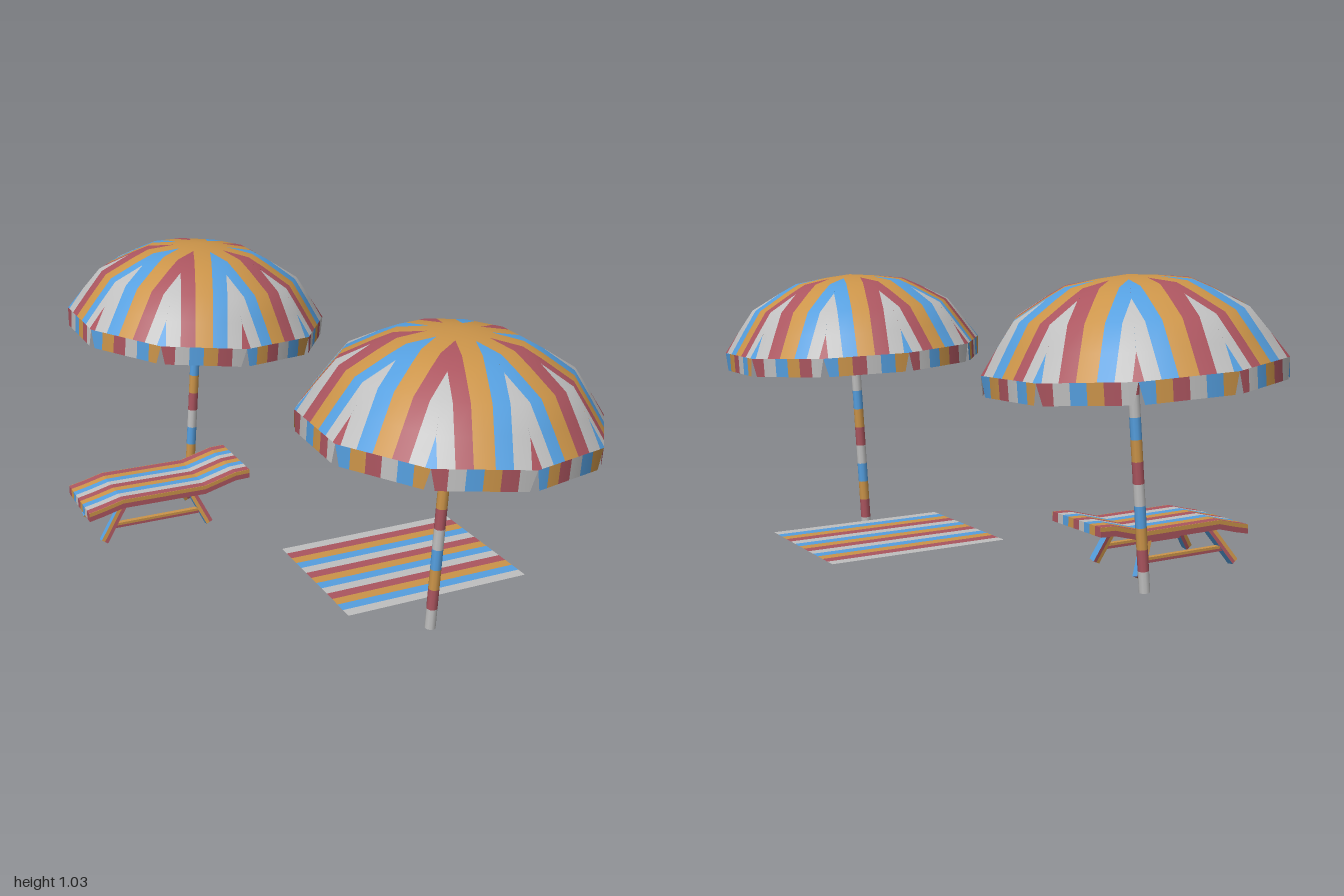
import * as THREE from 'three';

const mat = (name, color) => {
  const m = new THREE.MeshStandardMaterial({ color, side: THREE.DoubleSide });
  m.name = name;
  return m;
};

export function createModel() {
  const white = mat('white cloth', 0xbfbfbf);
  const red = mat('red cloth', 0xab555f);
  const orange = mat('orange cloth', 0xcb9449);
  const blue = mat('blue cloth', 0x559fdf);
  const cycle = [white, red, orange, blue];

  const root = new THREE.Group();
  root.name = 'beachSet';

  const add = (parent, name, geometry, material) => {
    const m = new THREE.Mesh(geometry, material);
    m.name = name;
    parent.add(m);
    return m;
  };
  const group = (parent, name, x, y, z) => {
    const g = new THREE.Group();
    g.name = name;
    g.position.set(x, y, z);
    parent.add(g);
    return g;
  };

  // Canopy: ten flat panels, each split into stripes parallel to its middle line
  const SIDES = 10, HALF = Math.PI / SIDES;
  const EDGES = [0, 0.03, 0.08, 0.13, 1];
  // radius and height of each ring, from the crown to the rim
  const RINGS = [[0, 0.998], [0.097, 0.988], [0.2, 0.973], [0.259, 0.944], [0.365, 0.886], [0.421, 0.811], [0.475, 0.736]];
  const SKIRT_BOTTOM = 0.672, BLOCKS = 6, NOTCH = 0.016;

  function canopy(parent) {
    const buckets = new Map(cycle.map(c => [c, { pos: [], nor: [] }]));

    const corner = (phi, [r, y], w, [nr, ny]) => {
      const a = r * Math.cos(HALF);
      const x = a * Math.cos(phi) - w * Math.sin(phi);
      const z = a * Math.sin(phi) + w * Math.cos(phi);
      const d = Math.hypot(x, z) || 1;
      return { p: [x, y, z], n: [x / d * nr, ny, z / d * nr] };
    };
    // one stripe piece between two rings; each span is [left, right]
    const quad = (colour, phi, top, bottom, topSpan, bottomSpan, nTop, nBottom) => {
      const A = corner(phi, top, topSpan[0], nTop), B = corner(phi, top, topSpan[1], nTop);
      const C = corner(phi, bottom, bottomSpan[1], nBottom), D = corner(phi, bottom, bottomSpan[0], nBottom);
      const out = buckets.get(colour);
      for (const v of [A, B, C, A, C, D]) { out.pos.push(...v.p); out.nor.push(...v.n); }
    };
    const ringNormal = i => {
      if (i === 0) return [0, 1];
      const a = RINGS[i - 1], b = RINGS[Math.min(i + 1, RINGS.length - 1)];
      const l = Math.hypot(b[0] - a[0], b[1] - a[1]);
      return [(a[1] - b[1]) / l, (b[0] - a[0]) / l];
    };

    const rim = RINGS[RINGS.length - 1], hRim = rim[0] * Math.sin(HALF);
    for (let k = 0; k < SIDES; k++) {
      const phi = (2 * k + 1) * HALF;
      for (const s of [-1, 1]) {
        const even = (s < 0 ? k : k + 1) % 2 === 0;
        const colours = even ? [orange, blue, white, red] : [orange, red, white, blue];
        for (let i = 0; i < RINGS.length - 1; i++) {
          const top = RINGS[i], bottom = RINGS[i + 1];
          const span = (r, j) => {
            const h = r * Math.sin(HALF);
            const pair = [Math.min(EDGES[j], h), Math.min(EDGES[j + 1], h)];
            return s > 0 ? pair : [-pair[1], -pair[0]];
          };
          colours.forEach((colour, j) => {
            if (bottom[0] * Math.sin(HALF) > EDGES[j] + 1e-3)
              quad(colour, phi, top, bottom, span(top[0], j), span(bottom[0], j), ringNormal(i), ringNormal(i + 1));
          });
        }
      }
      // hanging skirt of colour blocks, notched at every corner
      for (let j = 0; j < BLOCKS; j++) {
        const l = hRim * (2 * j / BLOCKS - 1), r = hRim * (2 * (j + 1) / BLOCKS - 1);
        const limit = hRim - NOTCH;
        quad(cycle[(k * BLOCKS + j) % 4], phi, rim, [rim[0], SKIRT_BOTTOM], [l, r],
          [Math.max(l, -limit), Math.min(r, limit)], [1, 0], [1, 0]);
      }
    }
    const g = group(parent, 'canopy', 0, 0, 0);
    for (const [material, { pos, nor }] of buckets) {
      const geo = new THREE.BufferGeometry();
      geo.setAttribute('position', new THREE.Float32BufferAttribute(pos, 3));
      geo.setAttribute('normal', new THREE.Float32BufferAttribute(nor, 3));
      add(g, 'canopyStripes', geo, material);
    }
    return g;
  }

  function parasol(name, x, y, z, tilt, spin) {
    const g = group(root, name, x, y, z);
    g.rotation.z = tilt;
    canopy(g).rotation.y = spin;
    // banded pole
    const band = 0.07, count = 14;
    for (let i = 0; i < count; i++) {
      const open = i > 0 && i < count - 1;
      const geo = new THREE.CylinderGeometry(0.018, 0.018, band, 10, 1, open);
      add(g, 'poleBand', geo, cycle[i % 4]).position.y = (i + 0.5) * band;
    }
  }
  parasol('frontParasol', 0.325, 0, 0.55, -0.053, -0.04);
  parasol('backParasol', -0.395, 0.032, -0.55, -0.075, 0);

  // Towel lying flat, striped along its length
  const towel = group(root, 'towel', 0.297, 0.07, 0.218);
  towel.rotation.y = 0.3;
  const stripes = 13, towelWidth = 0.52, sw = towelWidth / stripes;
  for (let i = 0; i < stripes; i++) {
    const geo = new THREE.PlaneGeometry(0.663, sw).rotateX(-Math.PI / 2);
    add(towel, 'towelStripe', geo, cycle[i % 4]).position.z = -towelWidth / 2 + (i + 0.5) * sw;
  }

  // Lounger: one bent profile extruded once per stripe
  const lounger = group(root, 'lounger', -0.51, 0, -0.3);
  lounger.rotation.y = 0.3;
  const topLine = [[-0.305, 0.178], [-0.25, 0.19], [-0.18, 0.208], [0.13, 0.206], [0.25, 0.238], [0.305, 0.24]];
  const layer = (upper, lower, depth) => new THREE.ExtrudeGeometry(new THREE.Shape([
    ...topLine.map(([x, y]) => new THREE.Vector2(x, y - upper)),
    ...topLine.map(([x, y]) => new THREE.Vector2(x, y - lower)).reverse(),
  ]), { depth, bevelEnabled: false });
  const slats = 9, bedWidth = 0.268, slat = bedWidth / slats, trim = 0.002;
  for (let i = 0; i < slats; i++)
    add(lounger, 'bedStripe', layer(0, 0.032, slat), cycle[(i + 1) % 4]).position.z = -bedWidth / 2 + i * slat;
  // two-tone edge along both sides of the bed
  for (const z of [-bedWidth / 2 - trim, bedWidth / 2]) {
    add(lounger, 'upperEdge', layer(0, 0.014, trim), orange).position.z = z;
    add(lounger, 'lowerEdge', layer(0.014, 0.032, trim), red).position.z = z;
  }

  // Splayed legs and side rails, each an orange half beside a red half
  const beam = (name, a, b, size, ends) => {
    const from = new THREE.Vector3(...a), to = new THREE.Vector3(...b);
    const dir = to.clone().sub(from);
    const g = group(lounger, name, 0, 0, 0);
    g.position.copy(from).add(to).multiplyScalar(0.5);
    [orange, red].forEach((colour, i) => {
      const geo = new THREE.BoxGeometry(size / 2, dir.length(), size);
      add(g, name + 'Half', geo, [ends, ends, colour, colour, colour, colour]).position.x = (i - 0.5) * size / 2;
    });
    g.quaternion.setFromUnitVectors(new THREE.Vector3(0, 1, 0), dir.normalize());
  };
  for (const s of [-1, 1]) {
    beam('footLeg', [-0.255, 0.054, s * 0.12], [-0.16, 0.185, s * 0.088], 0.026, blue);
    beam('headLeg', [0.145, 0.054, s * 0.12], [0.085, 0.185, s * 0.088], 0.026, blue);
    beam('sideRail', [-0.22, 0.104, s * 0.108], [0.123, 0.104, s * 0.108], 0.018, orange);
  }
  return root;
}
